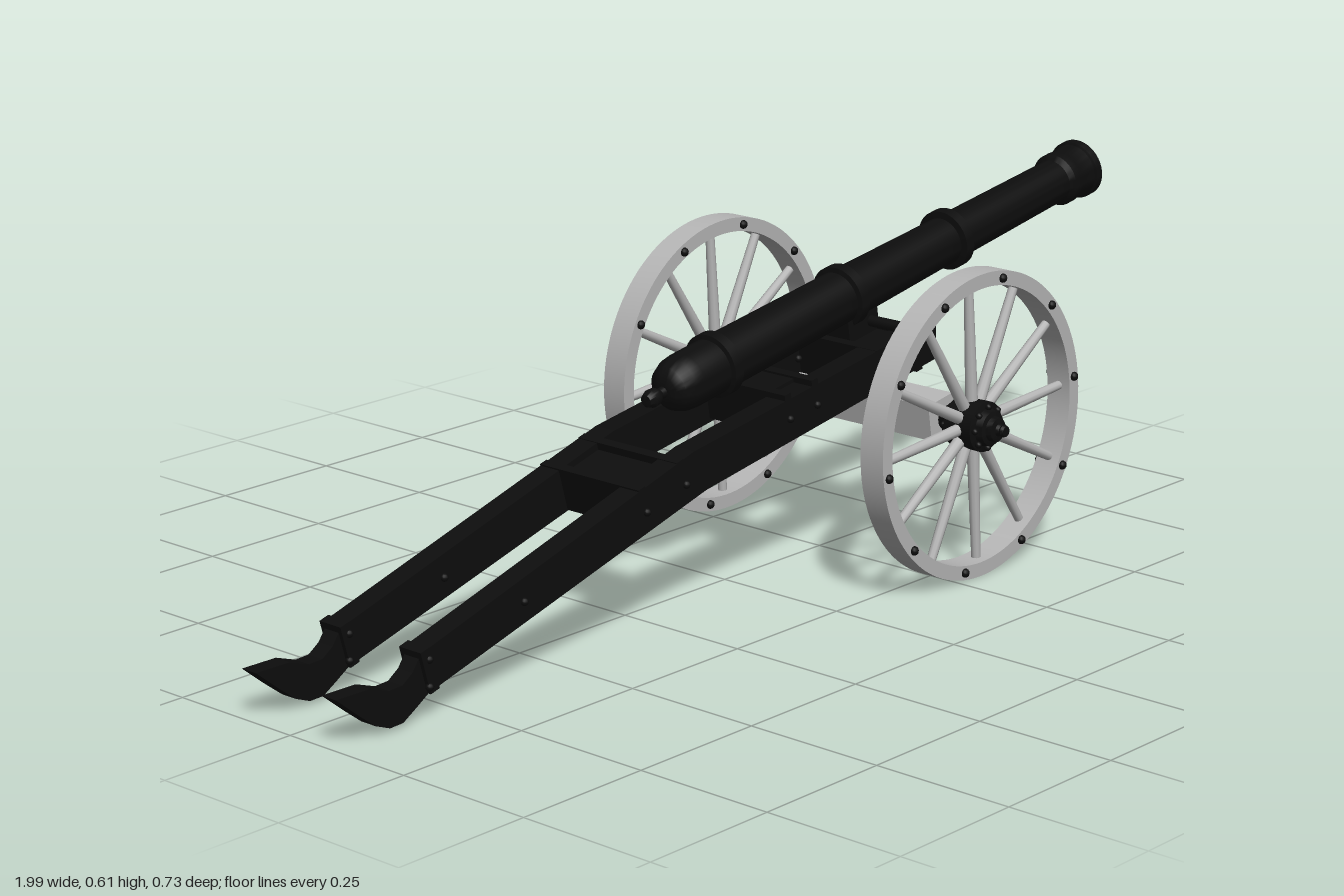
import * as THREE from 'three';
import { toCreasedNormals } from 'three/addons/utils/BufferGeometryUtils.js';

const iron = new THREE.MeshStandardMaterial({ color: 0x0d0d0d });
iron.name = 'black iron';
const wood = new THREE.MeshStandardMaterial({ color: 0xb6b6b6 });
wood.name = 'pale grey wood';

const TILT = THREE.MathUtils.degToRad(9.5);
const WHEEL = { x: 0.305, y: 0.269, z: 0.292, outer: 0.268, inner: 0.243, width: 0.048 };

function add(parent, name, geometry, material, x = 0, y = 0, z = 0) {
  const mesh = new THREE.Mesh(geometry, material);
  mesh.name = name;
  mesh.position.set(x, y, z);
  parent.add(mesh);
  return mesh;
}

const points = (list) => list.map(([x, y]) => new THREE.Vector2(x, y));

// Surface of revolution with crisp steps
function turned(profile, segments = 32) {
  return toCreasedNormals(new THREE.LatheGeometry(points(profile), segments), 0.6);
}

// Side profile extruded across z, centred on z = 0
function slab(outline, depth) {
  const geometry = new THREE.ExtrudeGeometry(new THREE.Shape(points(outline)), { depth, bevelEnabled: false });
  return geometry.translate(0, 0, -depth / 2);
}

function createBarrel() {
  // [radius, distance along the axis], from the knob to the bore
  const ring = (t, r, base) => [[base, t - 0.012], [r, t - 0.01], [r, t + 0.01], [base, t + 0.012]];
  const profile = [
    [0, -0.1], [0.011, -0.097], [0.016, -0.085], [0.015, -0.073], [0.009, -0.064],
    [0.01, -0.055], [0.025, -0.05], [0.039, -0.04], [0.047, -0.02], [0.049, 0],
    ...ring(0.075, 0.057, 0.049),
    ...ring(0.41, 0.056, 0.047),
    ...ring(0.705, 0.055, 0.043),
    [0.04, 1.02], [0.049, 1.028], [0.049, 1.045], [0.047, 1.05], [0.05, 1.083],
    [0.054, 1.085], [0.054, 1.1], [0.031, 1.1], [0.03, 0.95], [0, 0.95],
  ];
  const group = new THREE.Group();
  group.name = 'barrel';
  group.position.set(-0.1, 0.376, 0);
  group.rotation.z = TILT - Math.PI / 2;
  add(group, 'barrelTube', turned(profile, 40), iron);
  return group;
}

function createWheel(side) {
  const wheel = new THREE.Group();
  wheel.name = side > 0 ? 'frontWheel' : 'backWheel';
  wheel.position.set(WHEEL.x, WHEEL.y, side * WHEEL.z);

  // Rim
  const shape = new THREE.Shape().absarc(0, 0, WHEEL.outer, 0, Math.PI * 2);
  shape.holes.push(new THREE.Path().absarc(0, 0, WHEEL.inner, 0, Math.PI * 2, true));
  const rim = new THREE.ExtrudeGeometry(shape, { depth: WHEEL.width, bevelEnabled: false, curveSegments: 56 });
  rim.translate(0, 0, -WHEEL.width / 2);
  add(wheel, 'rim', toCreasedNormals(rim, 0.5), wood);

  // Spokes
  const spoke = new THREE.CylinderGeometry(0.008, 0.011, 0.22, 10);
  spoke.translate(0, 0.138, 0);
  for (let i = 0; i < 12; i++) {
    add(wheel, 'spoke', spoke, wood).rotation.z = (i / 12) * Math.PI * 2 + 0.07;
  }

  // Rim bolts on both faces
  const bolt = new THREE.SphereGeometry(0.008, 10, 8);
  for (let i = 0; i < 10; i++) {
    const a = THREE.MathUtils.degToRad(8 + i * 36);
    for (const z of [-0.025, 0.025]) {
      add(wheel, 'rimBolt', bolt, iron, Math.cos(a) * 0.255, Math.sin(a) * 0.255, z);
    }
  }

  // Hub with stepped flanges and a ball-ended axle tip
  const hub = turned([
    [0, -0.066], [0.012, -0.066], [0.012, -0.06], [0.02, -0.058], [0.022, -0.046], [0.03, -0.044],
    [0.033, -0.032], [0.043, -0.029], [0.044, 0.029], [0.033, 0.032], [0.03, 0.044], [0.022, 0.046],
    [0.02, 0.056], [0.011, 0.058], [0.009, 0.064], [0.011, 0.068], [0.009, 0.073], [0, 0.075],
  ], 24);
  hub.rotateX(side * Math.PI / 2);
  add(wheel, 'hub', hub, iron);

  // Hub bolts
  const stud = new THREE.SphereGeometry(0.006, 8, 6);
  for (let i = 0; i < 8; i++) {
    const a = (i / 8) * Math.PI * 2;
    for (const z of [-0.034, 0.034]) {
      add(wheel, 'hubBolt', stud, iron, Math.cos(a) * 0.036, Math.sin(a) * 0.036, z);
    }
  }
  return wheel;
}

function createTrail(side) {
  const trail = new THREE.Group();
  trail.name = side > 0 ? 'frontTrail' : 'backTrail';
  trail.position.z = side * 0.09;

  // Bent side rail
  add(trail, 'rail', slab([
    [-0.82, 0.115], [-0.8, 0.048], [-0.17, 0.224], [0.43, 0.325], [0.43, 0.397], [-0.2, 0.297],
  ], 0.042), iron);

  // Hooked spade at the tail
  add(trail, 'spade', slab([
    [-0.8, 0.118], [-0.82, 0.113], [-0.84, 0.085], [-0.862, 0.07], [-0.89, 0.069], [-0.93, 0.083],
    [-1, 0.084], [-0.955, 0.047], [-0.92, 0.02], [-0.89, 0.008], [-0.862, 0.009], [-0.835, 0.025], [-0.79, 0.053],
  ], 0.032), iron);

  // Strap round the tail joint
  add(trail, 'tailStrap', new THREE.BoxGeometry(0.02, 0.075, 0.048), iron, -0.81, 0.082).rotation.z = 0.27;

  // Bolts through the rail
  const bolt = new THREE.SphereGeometry(0.007, 10, 8);
  const spots = [[-0.81, 0.055], [-0.81, 0.1], [-0.6, 0.14], [-0.315, 0.22], [-0.22, 0.245],
    [0.04, 0.3], [0.11, 0.31], [0.27, 0.325], [0.38, 0.375]];
  for (const [x, y] of spots) {
    for (const z of [-0.022, 0.022]) add(trail, 'railBolt', bolt, iron, x, y, z);
  }
  return trail;
}

export function createModel() {
  const cannon = new THREE.Group();
  cannon.name = 'fieldCannon';
  cannon.add(createBarrel());
  for (const side of [1, -1]) cannon.add(createWheel(side), createTrail(side));

  // Axle beam and the iron axle through both hubs
  add(cannon, 'axleBeam', new THREE.BoxGeometry(0.066, 0.065, 0.456), wood, 0.303, WHEEL.y, 0).rotation.z = TILT;
  const axle = new THREE.CylinderGeometry(0.011, 0.011, 0.6, 16).rotateX(Math.PI / 2);
  add(cannon, 'axle', axle, iron, WHEEL.x, WHEEL.y, 0);

  // Cross pieces between the rails: [name, x, y, length, height, tilt]
  const crossPieces = [
    ['rearTransom', -0.27, 0.238, 0.095, 0.05, 0.27],
    ['breechSupport', 0.075, 0.312, 0.07, 0.07, TILT],
    ['frontTransom', 0.33, 0.343, 0.1, 0.055, TILT],
  ];
  for (const [name, x, y, length, height, tilt] of crossPieces) {
    add(cannon, name, new THREE.BoxGeometry(length, height, 0.14), iron, x, y, 0).rotation.z = tilt;
    // Clamps over both rails at the ends of each cross piece
    for (const end of [-1, 1]) {
      const dx = end * length * 0.5;
      add(cannon, 'railClamp', new THREE.BoxGeometry(0.016, 0.078, 0.222), iron,
        x + dx * Math.cos(tilt), y + dx * Math.sin(tilt), 0).rotation.z = tilt;
    }
  }

  // Cradle rod and trunnion blocks carrying the barrel
  const rod = new THREE.CylinderGeometry(0.01, 0.01, 0.222, 14).rotateX(Math.PI / 2);
  add(cannon, 'cradleRod', rod, iron, 0.35, 0.395, 0);
  add(cannon, 'cradle', new THREE.BoxGeometry(0.08, 0.06, 0.06), iron, 0.33, 0.39, 0).rotation.z = TILT;

  return cannon;
}
